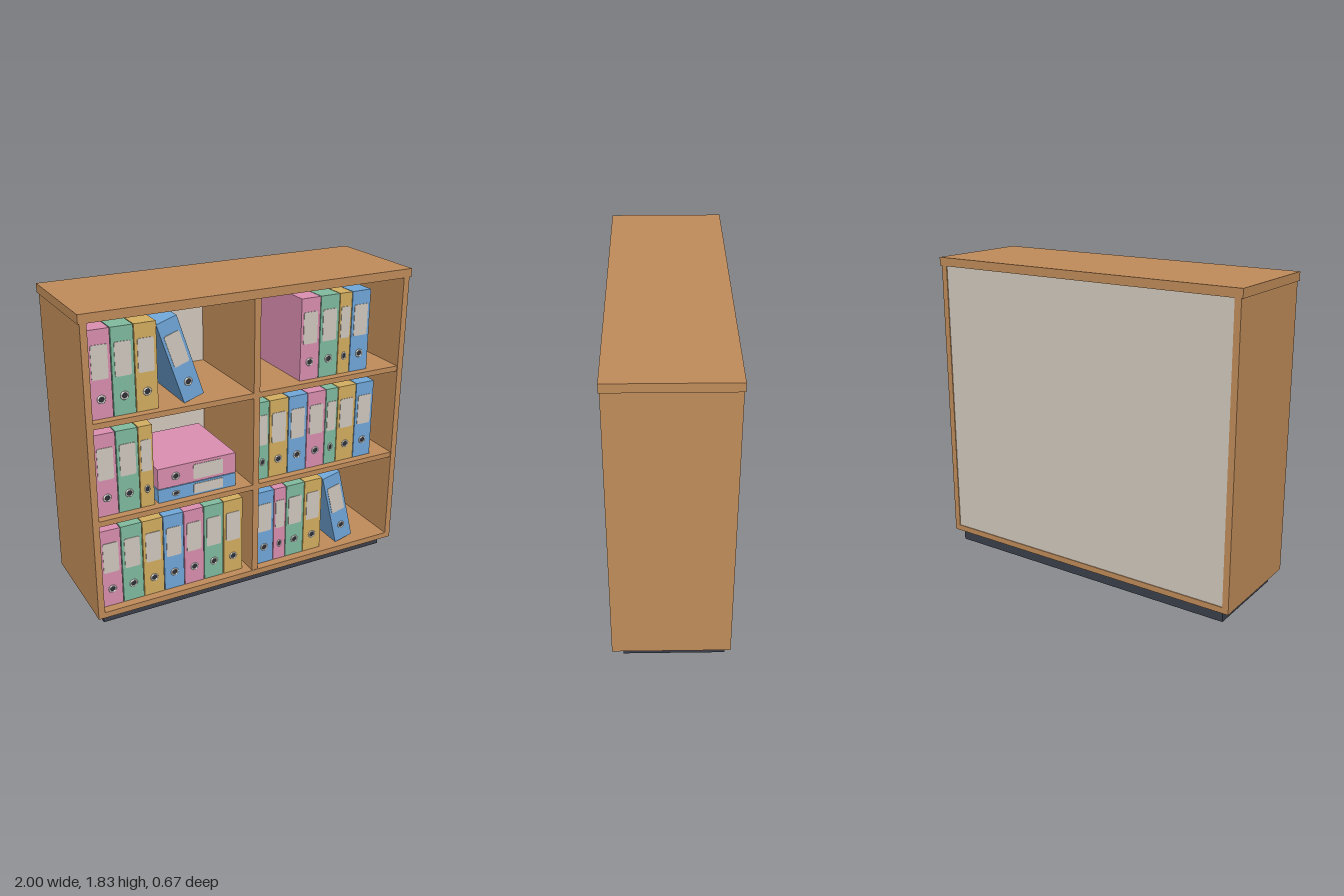
import * as THREE from 'three';

const mat = (name, color) => new THREE.MeshStandardMaterial({ name, color });

export function createModel() {
  const wood = mat('wood', 0xc08c5a);
  const plinthMat = mat('charcoal', 0x3b3f4a);
  const panelMat = mat('cream panel', 0xd3cabd);
  const labelMat = mat('label paper', 0xd0c9bf);
  const ringMat = mat('ring metal', 0xe4e2de);
  const holeMat = mat('hole dark', 0x2e3138);
  const covers = {
    p: mat('pink cover', 0xdb8fb0),
    g: mat('green cover', 0x80bb9f),
    y: mat('yellow cover', 0xd4ae60),
    b: mat('blue cover', 0x70a8da),
  };

  const model = new THREE.Group();
  model.name = 'binderShelf';

  // Box given by its minimum and maximum corners
  const box = (name, material, x0, x1, y0, y1, z0, z1, parent = model) => {
    const mesh = new THREE.Mesh(new THREE.BoxGeometry(x1 - x0, y1 - y0, z1 - z0), material);
    mesh.position.set((x0 + x1) / 2, (y0 + y1) / 2, (z0 + z1) / 2);
    mesh.name = name;
    parent.add(mesh);
    return mesh;
  };

  // Cabinet
  box('plinth', plinthMat, -0.943, 0.943, 0, 0.07, -0.3, 0.27);
  box('bottomBoard', wood, -0.99, 0.99, 0.07, 0.105, -0.33, 0.33);
  box('topBoard', wood, -1, 1, 1.775, 1.825, -0.335, 0.335);
  box('rightSide', wood, -0.99, -0.953, 0.105, 1.775, -0.33, 0.33);
  box('leftSide', wood, 0.953, 0.99, 0.105, 1.775, -0.33, 0.33);
  box('divider', wood, -0.019, 0.019, 0.105, 1.775, -0.31, 0.327);
  for (const y of [0.643, 1.208]) {
    for (const [x0, x1] of [[-0.953, -0.019], [0.019, 0.953]]) {
      box('shelf', wood, x0, x1, y, y + 0.032, -0.31, 0.325);
    }
  }
  box('backPanel', panelMat, -0.953, 0.953, 0.105, 1.775, -0.325, -0.31);

  // Binder parts, for a unit wide spine with its lower left corner at the origin
  const H = 0.48, WIDE = 0.122, THIN = 0.08, FRONT = 0.28, BACK = -0.2;
  const labelShape = new THREE.Shape();
  const [l, r, b, t, cx, cy] = [0.13, 0.87, 0.215, 0.4, 0.09, 0.011];
  labelShape.moveTo(l + cx, b);
  labelShape.lineTo(r - cx, b);
  labelShape.quadraticCurveTo(r, b, r, b + cy);
  labelShape.lineTo(r, t - cy);
  labelShape.quadraticCurveTo(r, t, r - cx, t);
  labelShape.lineTo(l + cx, t);
  labelShape.quadraticCurveTo(l, t, l, t - cy);
  labelShape.lineTo(l, b + cy);
  labelShape.quadraticCurveTo(l, b, l + cx, b);
  const labelGeo = new THREE.ExtrudeGeometry(labelShape, { depth: 0.003, bevelEnabled: false, curveSegments: 4 });
  const ringGeo = new THREE.TorusGeometry(0.0195, 0.005, 6, 16);
  const holeGeo = new THREE.CircleGeometry(0.017, 16);

  const binder = (cover, w, x, y, angle = 0) => {
    const g = new THREE.Group();
    g.name = 'binder';
    box('binderCover', covers[cover], 0, w, 0, H, BACK, FRONT, g);
    const label = new THREE.Mesh(labelGeo, labelMat);
    label.name = 'spineLabel';
    label.scale.x = w;
    label.position.z = FRONT;
    const ring = new THREE.Mesh(ringGeo, ringMat);
    ring.name = 'fingerRing';
    const hole = new THREE.Mesh(holeGeo, holeMat);
    hole.name = 'fingerHole';
    for (const m of [ring, hole]) {
      m.scale.x = w / WIDE;
      m.position.set(w / 2, 0.107, FRONT + 0.002);
    }
    g.add(label, ring, hole);
    g.position.set(x, y, 0);
    g.rotation.z = THREE.MathUtils.degToRad(angle);
    model.add(g);
  };

  // Upright rows: capital letters are wide binders, small letters thin ones
  const rows = [
    ['PGY', -0.944, 1.241], ['PGyB', 0.302, 1.241],
    ['PGy', -0.944, 0.676], ['gYBPgYB', 0.026, 0.676],
    ['PGYBPGY', -0.944, 0.106], ['BpGY', 0.026, 0.106],
  ];
  for (const [codes, start, y] of rows) {
    let x = start;
    for (const code of codes) {
      const cover = code.toLowerCase();
      const w = code === cover ? THIN : WIDE;
      binder(cover, w, x, y);
      x += w + 0.0045;
    }
  }

  // Leaning binders
  binder('b', WIDE, -0.419, 1.241, 18.2);
  binder('b', WIDE, 0.606, 0.106, 13.8);

  // Lying binders
  binder('b', THIN, -0.589, 0.676 + THIN, -90);
  binder('p', WIDE, -0.589, 0.76 + WIDE, -90);

  return model;
}
